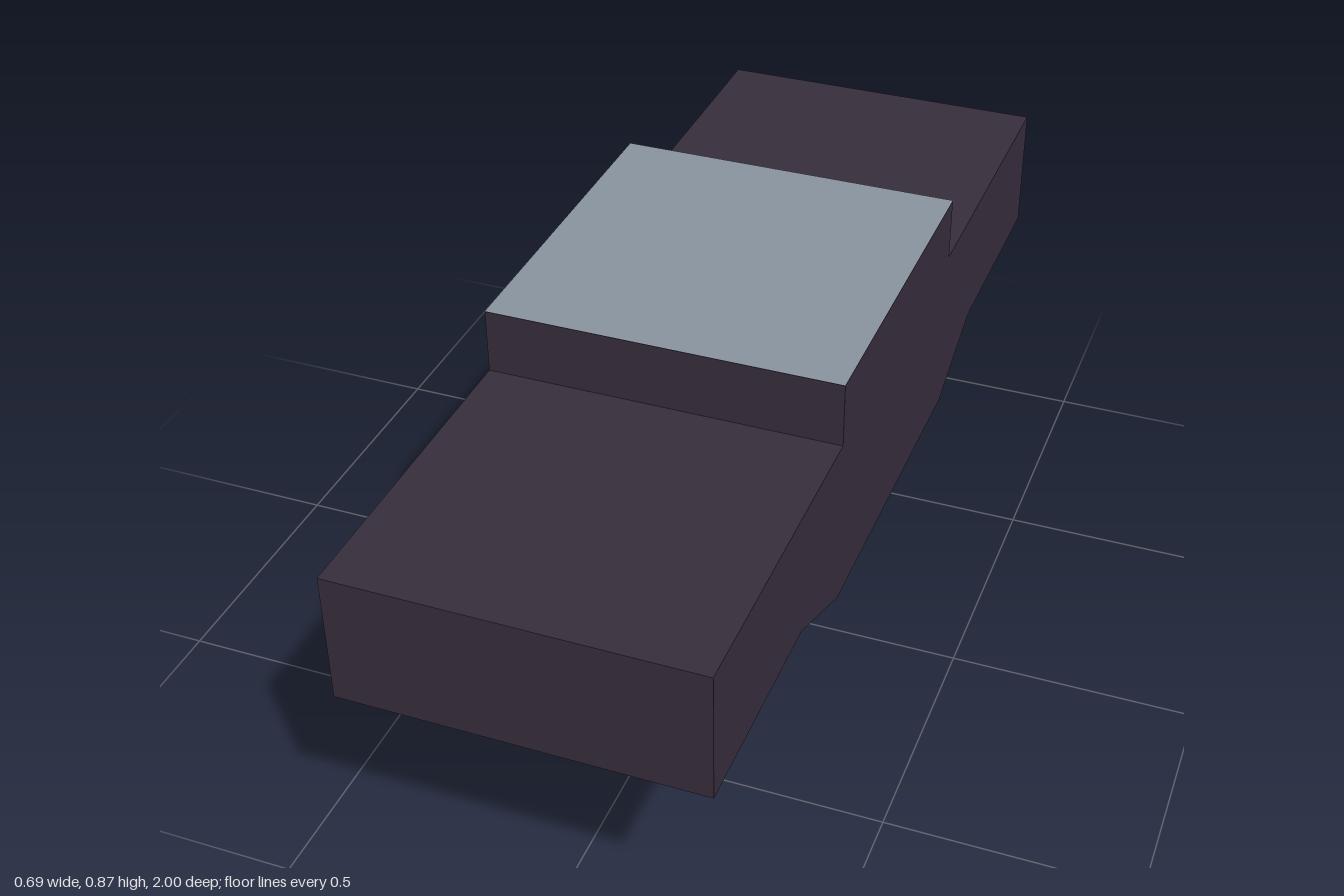
import * as THREE from 'three';

export function createModel() {
  const group = new THREE.Group();
  const dark = new THREE.MeshStandardMaterial({ color: 0x382e3d, flatShading: true });
  dark.name = 'dark plum';
  const grey = new THREE.MeshStandardMaterial({ color: 0x8a949f, flatShading: true });
  grey.name = 'slate grey';

  const WIDTH = 0.694, TOP = 0.873, BASE = 0.393;

  const add = (name, geometry, material, x, y, z) => {
    const mesh = new THREE.Mesh(geometry, material);
    mesh.name = name;
    mesh.position.set(x, y, z);
    group.add(mesh);
    return mesh;
  };

  // Body: half side profile (z, y), mirrored and extruded across the width
  const half = [[0.348, BASE], [0.56, 0.482], [1, 0.482], [1, 0.743], [0.348, 0.743], [0.348, TOP - 0.001]];
  const outline = [...half, ...half.map(([z, y]) => [-z, y]).reverse()];
  const shape = new THREE.Shape(outline.map(([z, y]) => new THREE.Vector2(z, y)));
  const bodyGeometry = new THREE.ExtrudeGeometry(shape, { depth: WIDTH, bevelEnabled: false });
  bodyGeometry.translate(0, 0, -WIDTH / 2).rotateY(-Math.PI / 2);
  add('body', bodyGeometry, dark, 0, 0, 0);

  // Coloured face on the raised middle
  const panel = new THREE.PlaneGeometry(WIDTH, 0.696).rotateX(-Math.PI / 2);
  add('topPanel', panel, grey, 0, TOP, 0);

  // Square post, reaching slightly into the body
  add('post', new THREE.BoxGeometry(0.174, BASE + 0.02, 0.174), dark, 0, (BASE + 0.02) / 2, 0);

  // Blocks under the front and back ends
  for (const side of [1, -1]) {
    const name = side > 0 ? 'frontBlock' : 'backBlock';
    add(name, new THREE.BoxGeometry(0.348, 0.1, 0.174), dark, 0, BASE + 0.05, side * 0.537);
  }

  return group;
}
